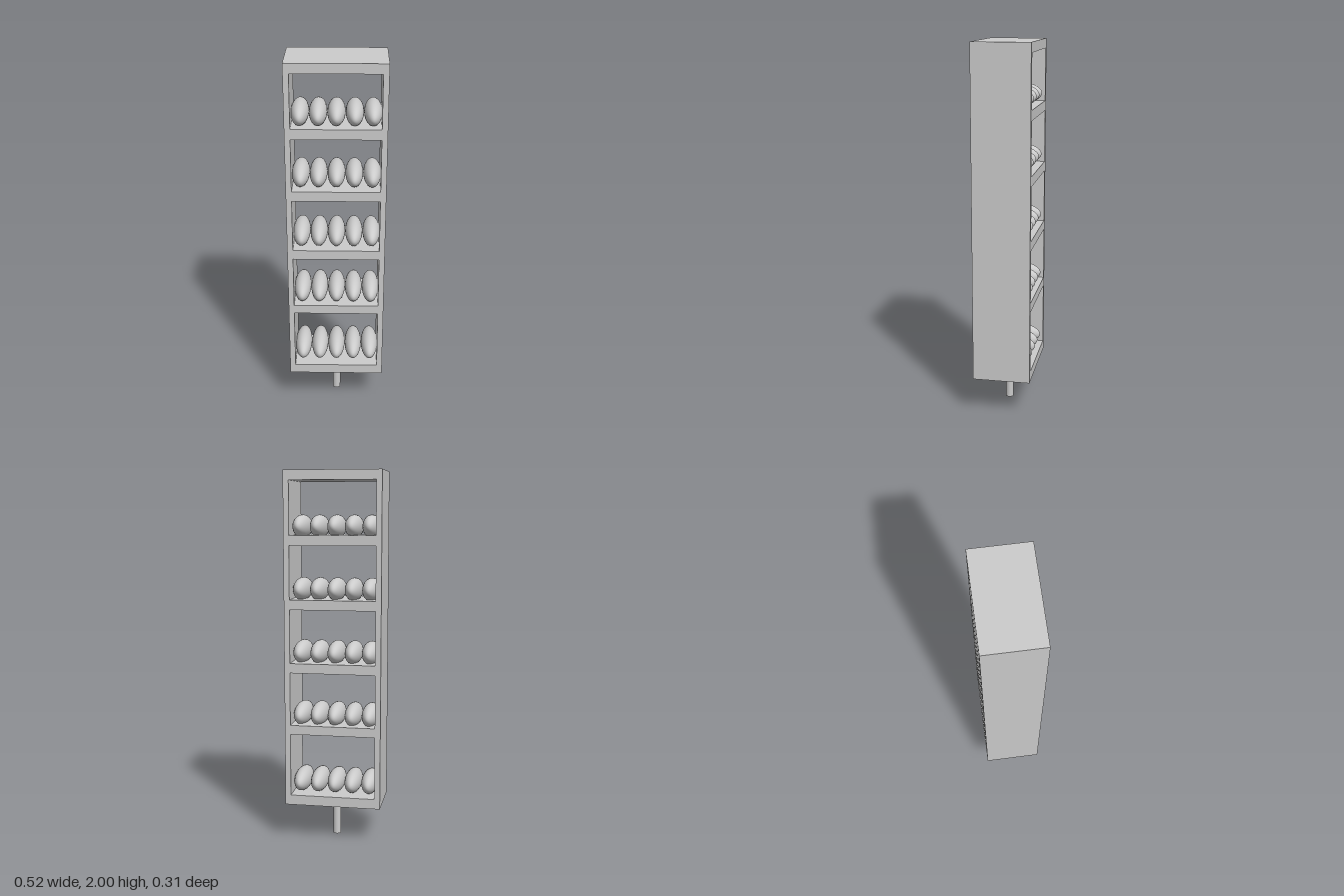
import * as THREE from 'three';

export function createModel() {
  const model = new THREE.Group();
  const material = new THREE.MeshStandardMaterial({ color: 0xcccccc });
  const halfW = 0.26, depth = 0.31, inner = 0.23;

  const add = (name, geometry, parent = model) => {
    const mesh = new THREE.Mesh(geometry, material);
    mesh.name = name;
    parent.add(mesh);
    return mesh;
  };

  // Cabinet frame, one solid open front and back: [bottom, top] of each bay
  const bays = [[0.254, 0.595], [0.645, 0.932], [0.984, 1.272], [1.325, 1.61], [1.664, 1.948]];
  const outline = (Kind, x, y0, y1) => new Kind([[-x, y0], [x, y0], [x, y1], [-x, y1]]
    .map(([px, py]) => new THREE.Vector2(px, py)));
  const face = outline(THREE.Shape, halfW, 0.2, 2);
  bays.forEach(([y0, y1]) => face.holes.push(outline(THREE.Path, inner, y0, y1)));
  const frame = new THREE.ExtrudeGeometry(face, { depth, bevelEnabled: false });
  frame.translate(0, 0, -depth / 2);
  add('shelfFrame', frame);

  // Five long rounded loaves per shelf, slightly sunk into it
  const loaf = new THREE.SphereGeometry(1, 32, 24);
  loaf.rotateX(Math.PI / 2);
  loaf.scale(0.047, 0.062, 0.143);
  [0.311, 0.687, 1.031, 1.374, 1.709].forEach((y, row) => {
    const shelf = new THREE.Group();
    shelf.name = `loafRow${row + 1}`;
    model.add(shelf);
    for (let i = -2; i <= 2; i++) add('loaf', loaf, shelf).position.set(i * 0.094, y, 0);
  });

  // Round post under the cabinet
  add('post', new THREE.CylinderGeometry(0.022, 0.022, 0.21, 32)).position.y = 0.105;

  return model;
}
